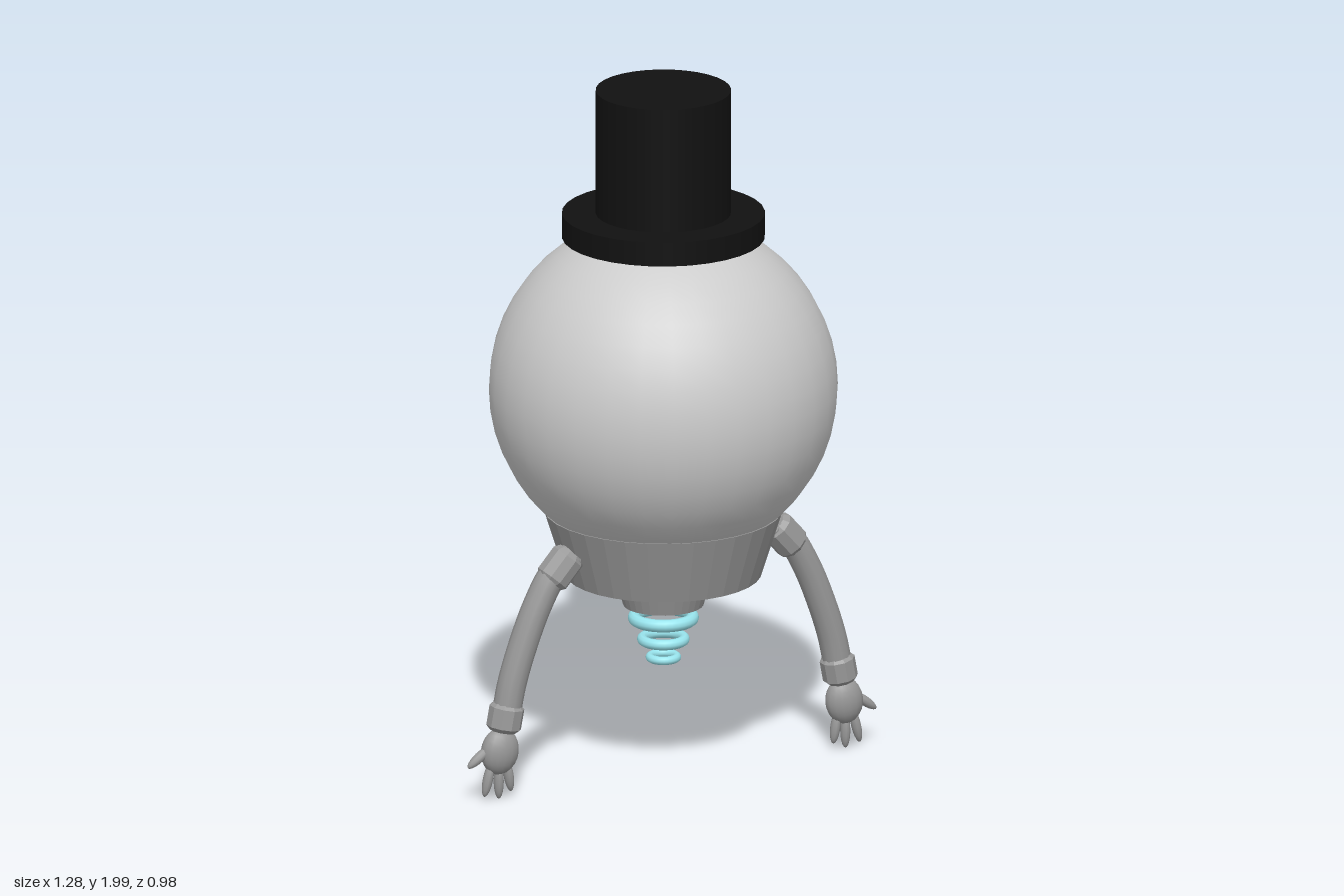
import * as THREE from 'three';

const mat = (color, flat = false) => new THREE.MeshStandardMaterial({ color, flatShading: flat });
const UP = new THREE.Vector3(0, 1, 0);

export function createModel() {
  const model = new THREE.Group();
  const shell = mat(0xcccccc);
  const metal = mat(0x999999);
  const metalFlat = mat(0x999999, true);
  const black = mat(0x111111);
  const glow = mat(0x99e5ee);

  const add = (parent, name, geometry, material, x = 0, y = 0, z = 0) => {
    const mesh = new THREE.Mesh(geometry, material);
    mesh.name = name;
    mesh.position.set(x, y, z);
    parent.add(mesh);
    return mesh;
  };
  // Upright tapered cylinder between two heights
  const drum = (name, rTop, rBottom, yTop, yBottom, material) =>
    add(model, name, new THREE.CylinderGeometry(rTop, rBottom, yTop - yBottom, 32), material, 0, (yTop + yBottom) / 2);

  // Body and hat
  add(model, 'body', new THREE.SphereGeometry(0.49, 32, 24), shell, 0, 1.13);
  drum('hatBrim', 0.285, 0.285, 1.64, 1.57, black);
  drum('hatCrown', 0.19, 0.19, 2, 1.6, black);

  // Tapered base and nozzle
  drum('base', 0.335, 0.275, 0.77, 0.58, metalFlat);
  drum('nozzle', 0.14, 0.113, 0.58, 0.49, metalFlat);

  // Shrinking hover rings
  [[0.45, 0.1, 0.018], [0.387, 0.074, 0.015], [0.334, 0.05, 0.012]].forEach(([y, outer, tube], i) => {
    const ring = add(model, 'hoverRing' + (i + 1), new THREE.TorusGeometry(outer - tube, tube, 10, 32), glow, 0, y);
    ring.rotation.x = Math.PI / 2;
  });

  // Arms, mirrored left and right
  for (const side of [1, -1]) {
    const arm = new THREE.Group();
    arm.name = side > 0 ? 'leftArm' : 'rightArm';
    arm.position.z = 0.055;
    model.add(arm);
    const point = (x, y) => new THREE.Vector3(side * x, y, 0);

    // Lays a geometry built along +y so that it runs from a to b
    const along = (name, geometry, a, b, material) => {
      const mesh = add(arm, name, geometry, material);
      mesh.position.copy(a).lerp(b, 0.5);
      mesh.quaternion.setFromUnitVectors(UP, b.clone().sub(a).normalize());
      return mesh;
    };
    // Faceted sleeve with chamfered rims
    const sleeve = (name, a, b, r) => {
      const h = a.distanceTo(b) / 2, c = h * 0.3;
      const profile = [[0, -h], [r * 0.75, -h], [r, -h + c], [r, h - c], [r * 0.75, h], [0, h]];
      const geometry = new THREE.LatheGeometry(profile.map(p => new THREE.Vector2(...p)), 10);
      along(name, geometry, a, b, metalFlat);
    };

    const path = new THREE.CatmullRomCurve3([
      point(0.31, 0.69), point(0.37, 0.645), point(0.42, 0.56), point(0.465, 0.45), point(0.5, 0.34), point(0.52, 0.24),
    ]);
    add(arm, 'armTube', new THREE.TubeGeometry(path, 24, 0.041, 12), metal);
    sleeve('shoulderSleeve', point(0.315, 0.7), point(0.385, 0.62), 0.05);
    sleeve('wristCuff', point(0.513, 0.285), point(0.528, 0.205), 0.05);

    // Palm and tapering fingers
    const palm = along('palm', new THREE.SphereGeometry(1, 16, 12), point(0.53, 0.21), point(0.545, 0.085), metal);
    palm.scale.set(0.056, 0.068, 0.04);
    const fingers = [
      ['innerFinger', 0.517, 0.12, 0.503, 0.025],
      ['middleFinger', 0.541, 0.11, 0.541, 0.008],
      ['outerFinger', 0.563, 0.12, 0.586, 0.019],
      ['thumb', 0.565, 0.165, 0.637, 0.11],
    ];
    for (const [name, x1, y1, x2, y2] of fingers) {
      const a = point(x1, y1), b = point(x2, y2);
      const finger = along(name, new THREE.SphereGeometry(1, 10, 10), a, b, metal);
      finger.scale.set(0.014, a.distanceTo(b) / 2, 0.016);
    }
  }
  return model;
}
